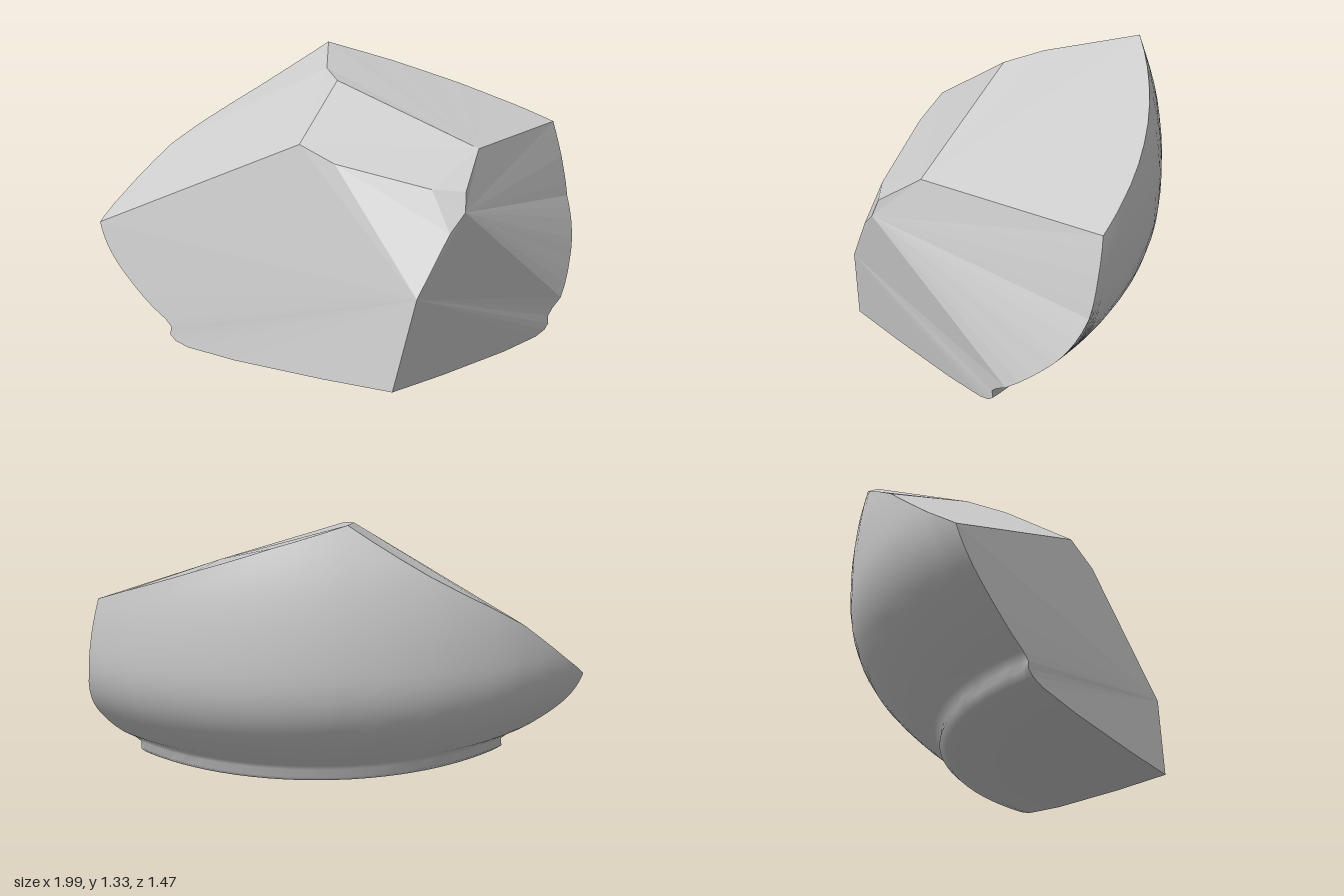
import * as THREE from 'three';

const AXIS = [-0.31, 0.7];
// Turned outer wall: [height, radius], from the foot centre to the top
const PROFILE = [[0, 0], [0.01, 0.3], [0.034, 0.7], [0.06, 0.92], [0.08, 0.98], [0.105, 1.008], [0.14, 1.005],
  [0.17, 1.035], [0.21, 1.095], [0.28, 1.18], [0.41, 1.31], [0.51, 1.375], [0.63, 1.415], [0.78, 1.425],
  [0.94, 1.418], [1.12, 1.388], [1.33, 1.32]];
// Broken upper edge of the wall: [angle in degrees, height]
const RIM = [[-27.6, 0.56], [-22, 0.66], [-11.5, 0.87], [-5.6, 0.96], [5.8, 1.12], [19.7, 1.33], [33.3, 1.24],
  [47, 1.135], [60.6, 1.02], [66.6, 0.965], [68.3, 0.8], [69.9, 0.62], [72.5, 0.47], [74.6, 0.36], [78, 0.21]];
const FOOT_ROWS = PROFILE.map(p => p[0]).filter(y => y <= 0.21);
const SUB = 3, WALL_ROWS = 14;

const radius = new THREE.CubicInterpolant(PROFILE.map(p => p[0]), PROFILE.map(p => p[1]), 1);

// Point on the wall; the plan is slightly out of round
function wallPoint(deg, y, top) {
  const a = deg - Math.max(0, -deg / 27.6) * 2.5 * (1 - y / top);
  const r = radius.evaluate(y)[0] * (0.955 + 2.5e-5 * (a - 40) ** 2);
  const t = THREE.MathUtils.degToRad(a);
  return [AXIS[0] + r * Math.sin(t), y, AXIS[1] - r * Math.cos(t)];
}

// Columns of wall points, each running from the foot centre to the rim
function wallColumns() {
  const columns = [];
  for (let i = 0; i < RIM.length; i++) {
    const last = i === RIM.length - 1;
    for (let s = 0; s < (last ? 1 : SUB); s++) {
      const [a0, y0] = RIM[i], [a1, y1] = RIM[last ? i : i + 1];
      const deg = a0 + (a1 - a0) * s / SUB, top = y0 + (y1 - y0) * s / SUB;
      const ys = [...FOOT_ROWS];
      for (let k = 1; k <= WALL_ROWS; k++) ys.push(0.21 + (top - 0.21) * k / WALL_ROWS);
      columns.push(ys.map(y => wallPoint(deg, y, top)));
    }
  }
  return columns;
}

function wallGeometry(columns) {
  const n = columns[0].length, index = [];
  for (let c = 0; c < columns.length - 1; c++) {
    for (let r = 0; r < n - 1; r++) {
      const a = c * n + r, b = a + n;
      index.push(a, a + 1, b, a + 1, b + 1, b);
    }
  }
  const g = new THREE.BufferGeometry();
  g.setAttribute('position', new THREE.Float32BufferAttribute(columns.flat(2), 3));
  g.setIndex(index);
  g.computeVertexNormals();
  return g;
}

// Flat fan from the first corner, each triangle turned away from the middle
function fanGeometry(corners) {
  const pts = corners.map(c => new THREE.Vector3(...c));
  const middle = new THREE.Vector3(-0.05, 0.6, 0.1), out = [];
  for (let i = 1; i < pts.length - 1; i++) {
    const tri = new THREE.Triangle(pts[0], pts[i], pts[i + 1]);
    if (tri.getArea() < 1e-7) continue;
    const facing = tri.getNormal(new THREE.Vector3()).dot(tri.getMidpoint(new THREE.Vector3()).sub(middle));
    const order = facing > 0 ? [tri.a, tri.b, tri.c] : [tri.a, tri.c, tri.b];
    order.forEach(p => out.push(p.x, p.y, p.z));
  }
  const g = new THREE.BufferGeometry();
  g.setAttribute('position', new THREE.Float32BufferAttribute(out, 3));
  g.computeVertexNormals();
  return g;
}

export function createModel() {
  const group = new THREE.Group();
  group.name = 'brokenShard';
  const smooth = new THREE.MeshStandardMaterial({ color: 0xcccccc, side: THREE.DoubleSide });
  const flat = new THREE.MeshStandardMaterial({ color: 0xcccccc, flatShading: true, side: THREE.DoubleSide });
  const add = (name, geometry, material) => {
    const mesh = new THREE.Mesh(geometry, material);
    mesh.name = name;
    group.add(mesh);
  };

  // Curved outer wall with foot
  const columns = wallColumns();
  add('outerWall', wallGeometry(columns), smooth);

  // Corners of the fracture faces
  const ridgeFront = [-0.15, 1.2, 0.02], ridgeBack = [-0.1, 1.24, -0.15];
  const brow = [0.2, 0.94, 0.58], shoulder = [-0.44, 0.96, 0.19], cheek = [-0.36, 0.89, 0.34];
  const chipTop = [0.04, 0.79, 0.71], chipInner = [-0.08, 0.8, 0.64], chipTip = [0.02, 0.71, 0.735];
  const chipLow = [-0.06, 0.63, 0.74], chin = [-0.22, 0.38, 0.74];

  const rim = columns.map(c => c[c.length - 1]);
  const rimPart = (from, to) => rim.slice(from * SUB, to * SUB + 1);
  const rightEdge = columns[0], leftEdge = columns[columns.length - 1];

  // Fracture faces
  const faces = {
    topRightFace: [shoulder, ridgeFront, ridgeBack, ...rimPart(0, 2).reverse()],
    topBackFace: [ridgeBack, ...rimPart(2, 5)],
    topLeftFace: [brow, ridgeFront, ridgeBack, ...rimPart(5, 9)],
    leftFace: [chipTip, chipTop, brow, ...rimPart(9, 14)],
    frontLowerFace: [chin, chipLow, chipTip, ...[...leftEdge].reverse()],
    rightFace: [chin, ...rightEdge, shoulder, cheek],
    frontUpperFace: [brow, ridgeFront, shoulder, cheek, chipInner, chipTop],
    frontMiddleFace: [cheek, chin, chipLow, chipInner],
    chipFace: [chipInner, chipLow, chipTip, chipTop],
  };
  for (const [name, corners] of Object.entries(faces)) add(name, fanGeometry(corners), flat);

  return group;
}
